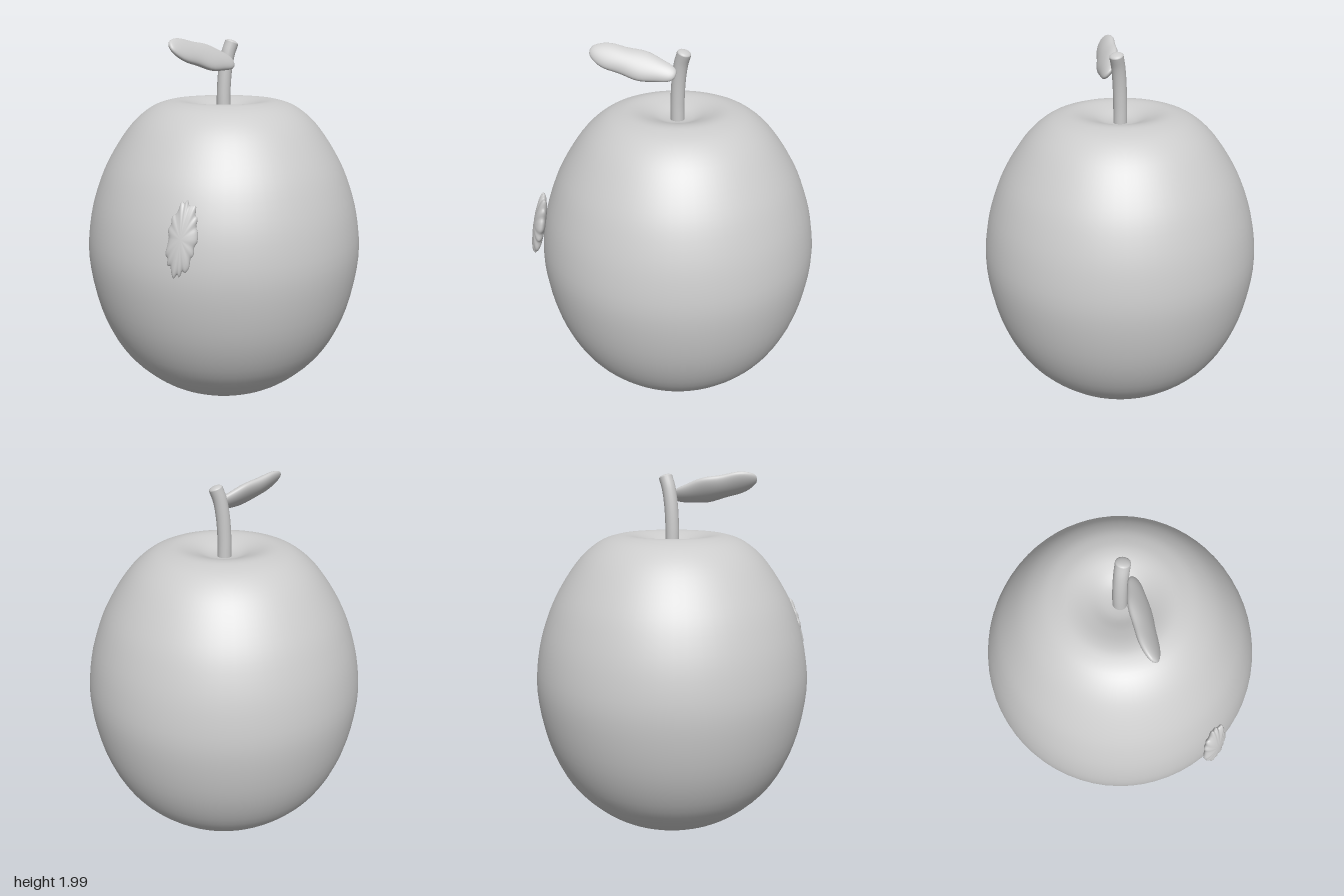
import * as THREE from 'three';
import { mergeVertices } from 'three/addons/utils/BufferGeometryUtils.js';

// Sphere whose vertices are moved by a rule, welded and smooth-shaded
function blob(rule, w = 48, h = 32) {
  let geo = new THREE.SphereGeometry(1, w, h);
  geo.rotateX(Math.PI / 2); // poles along z
  geo.deleteAttribute('uv');
  geo.deleteAttribute('normal');
  const pos = geo.attributes.position;
  const v = new THREE.Vector3();
  for (let i = 0; i < pos.count; i++) {
    v.fromBufferAttribute(pos, i);
    rule(v);
    pos.setXYZ(i, v.x, v.y, v.z);
  }
  geo = mergeVertices(geo, 1e-5);
  geo.computeVertexNormals();
  return geo;
}

export function createModel() {
  const group = new THREE.Group();
  const grey = new THREE.MeshStandardMaterial({ color: 0xcccccc });
  grey.name = 'plain grey';
  const add = (name, geo) => {
    const mesh = new THREE.Mesh(geo, grey);
    mesh.name = name;
    group.add(mesh);
    return mesh;
  };

  // Fruit body: rounded profile with a shallow dimple at the top
  const profile = new THREE.SplineCurve([
    [0, 0.005], [0.15, 0.015], [0.3, 0.06], [0.45, 0.15], [0.6, 0.31], [0.705, 0.54],
    [0.755, 0.82], [0.735, 1.05], [0.675, 1.25], [0.6, 1.4], [0.5, 1.54], [0.4, 1.625],
    [0.31, 1.66], [0.24, 1.665], [0.16, 1.645], [0.08, 1.615], [0, 1.605],
  ].map(([x, y]) => new THREE.Vector2(x, y))).getPoints(64);
  profile.forEach((p) => { p.x = Math.max(p.x, 0); });
  add('body', new THREE.LatheGeometry(profile, 64));

  // Curved stem with a rounded tip
  const stemPath = new THREE.CatmullRomCurve3([
    [-0.002, 1.59], [-0.002, 1.7], [0.006, 1.82], [0.022, 1.91], [0.043, 1.968],
  ].map(([x, y]) => new THREE.Vector3(x, y, 0)));
  add('stem', new THREE.TubeGeometry(stemPath, 24, 0.037, 20));
  const tip = add('stemTip', new THREE.SphereGeometry(0.037, 20, 12));
  tip.scale.y = 0.4;
  tip.rotation.z = -0.35;
  tip.position.set(0.043, 1.967, 0);

  // Thick leaf: x runs along it, y across, z through its thickness
  const leafGeo = blob((v) => {
    const fill = Math.pow(Math.max(1 - v.x * v.x, 1e-6), -0.1); // blunter ends
    const width = 0.078 * fill * (1 + 0.06 * Math.sin(v.x * 7));
    v.set(v.x * 0.232, v.y * width, v.z * 0.034 * fill + 0.008 * (v.x * v.x - 0.5));
  });
  const along = new THREE.Vector3(0.2, -0.05, -0.11).normalize();
  const across = new THREE.Vector3(-0.29, 0.8, -0.52);
  across.addScaledVector(along, -across.dot(along)).normalize();
  const through = new THREE.Vector3().crossVectors(along, across);
  leafGeo.applyMatrix4(new THREE.Matrix4().makeBasis(along, across, through));
  leafGeo.translate(-0.165, 1.912, 0.16);
  add('leaf', leafGeo);

  // Small ragged patch lying on the front right of the fruit
  const patchGeo = blob((v) => {
    const a = Math.atan2(v.y, v.x);
    const ragged = 1 + 0.05 * Math.sin(7 * a + 1) + 0.045 * Math.sin(13 * a) + 0.03 * Math.sin(19 * a + 2);
    v.set(v.x * 0.07 * ragged, v.y * 0.178 * ragged, v.z * 0.03);
  }, 96, 24);
  const patch = add('patch', patchGeo);
  patch.rotation.set(-0.2, -0.543, -0.12, 'YXZ');
  patch.position.set(-0.405, 1.092, 0.652);

  return group;
}
